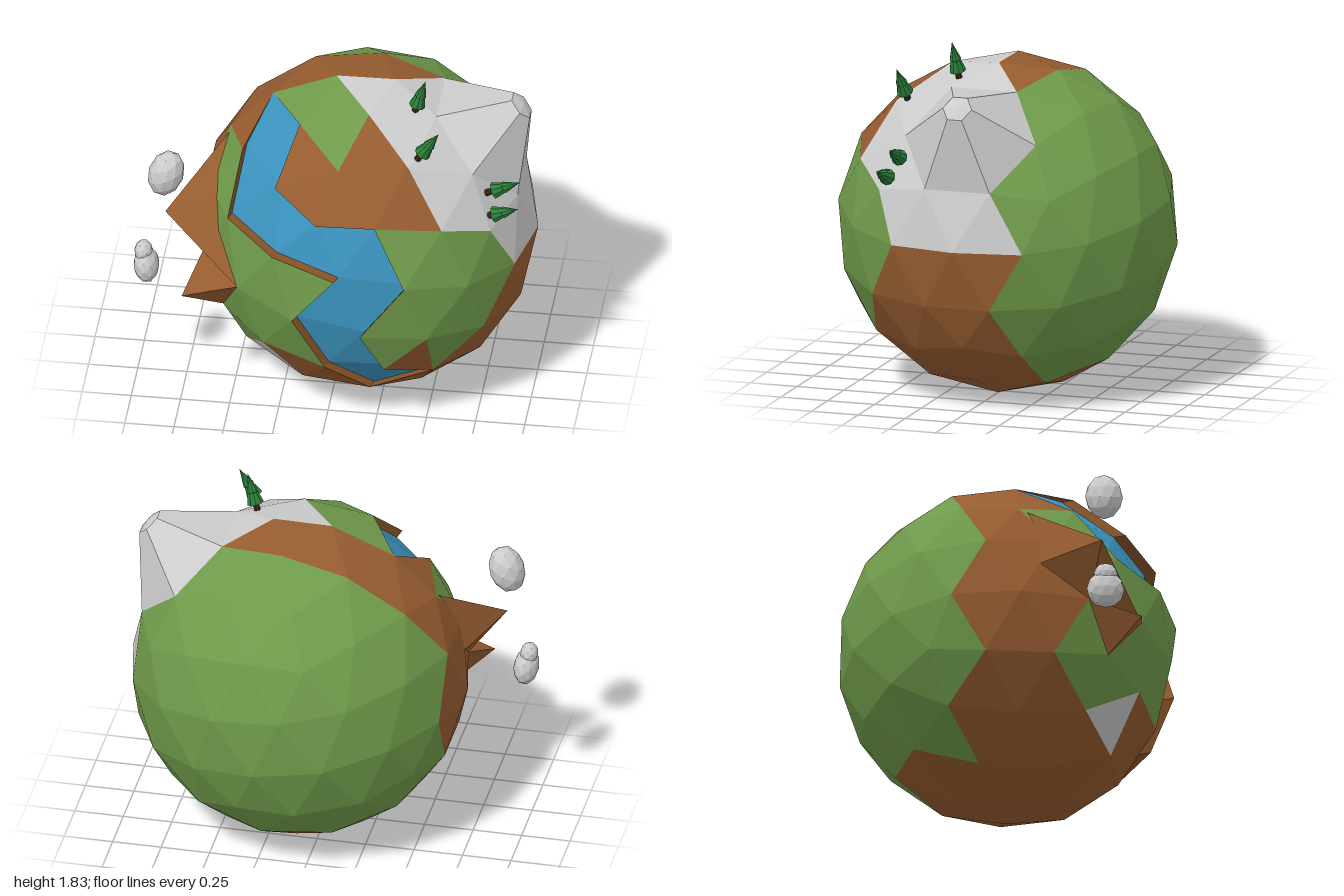
import * as THREE from 'three';

const R = 0.863, CENTRE = new THREE.Vector3(0.14, 0.853, 0);
const V = (x, y, z) => new THREE.Vector3(x, y, z);
const COLORS = {
  grass: 0x6f9a4a, soil: 0x965c30, rock: 0xcccccc, river: 0x3a92bd,
  riverBank: 0x8a5429, leaf: 0x2a7f3a, bark: 0x40281a,
};
const material = (name) => new THREE.MeshStandardMaterial({
  color: COLORS[name], flatShading: true, side: THREE.DoubleSide,
});

// Region outlines: river, soil and scree seen along z as [x, y], mountain seen along x as [z, y]
const RIVER = [[-0.33, 1.58], [-0.464, 1.401], [-0.511, 1.122], [-0.253, 1.067], [0.074, 1.014],
  [-0.144, 0.735], [0.013, 0.423], [0.22, 0.205], [0.542, 0.338], [0.314, 0.434], [0.206, 0.692],
  [0.425, 0.971], [0.267, 1.283], [-0.034, 1.272], [-0.262, 1.368], [-0.169, 1.598]];
const UPPER_SOIL = [[-0.169, 1.598], [0.06, 1.501], [0.18, 1.667], [0.41, 1.504], [0.594, 1.23],
  [0.267, 1.283], [-0.034, 1.272], [-0.262, 1.368]];
const LOWER_SOIL = [[-0.433, 0.31], [-0.314, 0.476], [0.013, 0.423], [0.314, 0.434], [0.533, 0.639],
  [0.542, 0.338], [0.791, 0.584], [0.929, 0.875], [1.1, 0.875], [1.1, -0.1], [-0.55, -0.1]];
const SCREE = [[-0.433, 0.31], [-0.314, 0.476], [-0.129, 0.202]];
const MOUNTAIN = [[0.348, 0.875], [0.454, 1.134], [0.63, 1.23], [0.498, 1.504], [0.281, 1.667],
  [0, 1.72], [-0.174, 1.614], [-0.348, 1.396], [-0.174, 1.177], [-0.348, 0.875]];

function inside(poly, x, y) {
  let hit = false;
  poly.forEach(([ax, ay], i) => {
    const [bx, by] = poly[(i + 1) % poly.length];
    if ((ay > y) !== (by > y) && x < ((bx - ax) * (y - ay)) / (by - ay) + ax) hit = !hit;
  });
  return hit;
}

// Which ground covers a facet, from its centroid
function regionOf({ x, y, z }) {
  if (x > 0.14 && inside(MOUNTAIN, z, y)) return 'rock';
  if (z > 0.01) {
    if (inside(RIVER, x, y)) return 'river';
    if (inside(SCREE, x, y)) return 'rock';
    if (inside(UPPER_SOIL, x, y) || inside(LOWER_SOIL, x, y)) return 'soil';
    if (x < -0.4 && (z < 0.12 || (z < 0.2 && y < 1.1))) return 'soil';
    return 'grass';
  }
  if (z > -0.25 || (y < 0.25 && x > -0.2 && x < 0.35)) return 'soil';
  return 'grass';
}

function meshFrom(points, name, colour) {
  const g = new THREE.BufferGeometry().setFromPoints(points);
  g.computeVertexNormals();
  const mesh = new THREE.Mesh(g, material(colour));
  mesh.name = name;
  return mesh;
}

// Fan of triangles from a ring of points to a tip
const fan = (ring, tip) => ring.flatMap((p, i) => [p, ring[(i + 1) % ring.length], tip]);

function createGlobe() {
  const group = new THREE.Group();
  group.name = 'globe';
  const geo = new THREE.IcosahedronGeometry(R, 2);
  geo.rotateZ(Math.PI / 8).translate(CENTRE.x, CENTRE.y, CENTRE.z);
  const pos = geo.attributes.position;
  const bins = { grass: [], soil: [], rock: [], river: [], riverBank: [] };
  const peakBase = V(0.767, 1.446, 0), peakTop = V(0.93, 1.615, 0);
  const cragBase = V(-0.545, 0.734, 0.477), cragTip = V(-0.73, 0.705, 0.61);
  const riverEdges = new Map();
  const key = (p) => p.toArray().map((n) => Math.round(n * 1000)).join();
  const sink = (p) => (p.z < 0.05 ? p.clone() : p.clone().add(V(0.015, -0.005, -0.06)));

  for (let i = 0; i < pos.count; i += 3) {
    const t = [0, 1, 2].map((k) => V().fromBufferAttribute(pos, i + k));
    const mid = V(0, 0, 0).add(t[0]).add(t[1]).add(t[2]).divideScalar(3);
    const peak = t.findIndex((p) => p.distanceTo(peakBase) < 0.08);
    if (peak >= 0) {
      // Mountain: each facet around the peak rises to a small flat cap
      const a = t[(peak + 1) % 3], b = t[(peak + 2) % 3];
      const [c, d] = [a, b].map((p) => p.clone().sub(t[peak]).multiplyScalar(0.22).add(peakTop));
      bins.rock.push(a, b, d, a, d, c, c, d, peakTop);
    } else if (mid.distanceTo(cragBase) < 0.08) {
      // Lower crag: one facet pulled out to a point
      bins.soil.push(...fan(t, cragTip));
    } else {
      const region = regionOf(mid);
      if (region === 'river') {
        bins.river.push(...t.map(sink));
        t.forEach((a, k) => {
          const b = t[(k + 1) % 3];
          const back = key(b) + '|' + key(a);
          if (riverEdges.has(back)) riverEdges.delete(back);
          else riverEdges.set(key(a) + '|' + key(b), [a, b]);
        });
      } else bins[region].push(...t);
    }
  }
  // Banks: walls from the ground down to the sunken river
  for (const [a, b] of riverEdges.values()) {
    bins.riverBank.push(a, sink(b), b, a, sink(a), sink(b));
  }
  for (const [name, points] of Object.entries(bins)) group.add(meshFrom(points, name, name));
  return group;
}

// Tree standing on a base point and leaning towards its tip
function createTree(base, tip) {
  const tree = new THREE.Group();
  tree.name = 'tree';
  const h = base.distanceTo(tip);
  const trunk = new THREE.Mesh(new THREE.CylinderGeometry(0.016, 0.018, 0.06, 8), material('bark'));
  trunk.name = 'trunk';
  trunk.position.y = 0.02;
  const profile = [[0, 0.18], [0.043, 0.2], [0.026, 0.5], [0.03, 0.52], [0.012, 0.8], [0, 1]];
  const crown = new THREE.Mesh(
    new THREE.LatheGeometry(profile.map(([r, y]) => new THREE.Vector2(r, y * h)), 9), material('leaf'));
  crown.name = 'crown';
  tree.add(trunk, crown);
  tree.position.copy(base);
  tree.quaternion.setFromUnitVectors(V(0, 1, 0), tip.clone().sub(base).normalize());
  return tree;
}

export function createModel() {
  const model = new THREE.Group();
  model.name = 'smallPlanet';
  model.add(createGlobe());

  // Upper crag
  const ring = [V(-0.56, 1.34, 0.04), V(-0.59, 1.13, 0.33), V(-0.447, 0.798, 0.63),
    V(-0.649, 0.831, 0.348), V(-0.69, 1.0, 0.1)];
  model.add(meshFrom(fan(ring, V(-0.84, 1.07, 0.4)), 'upperCrag', 'soil'));

  // Trees on the mountain side
  [
    [V(0.40, 1.64, 0.17), V(0.455, 1.835, 0.19)],
    [V(0.45, 1.53, 0.43), V(0.555, 1.695, 0.45)],
    [V(0.79, 1.29, 0.34), V(0.955, 1.37, 0.35)],
    [V(0.80, 1.19, 0.40), V(0.955, 1.255, 0.42)],
  ].forEach(([base, tip]) => model.add(createTree(base, tip)));

  // Floating boulders: centre, half sizes, tilt
  [
    [V(-0.835, 1.31, 0.41), V(0.09, 0.127, 0.095), -0.3],
    [V(-0.935, 0.75, 0.41), V(0.065, 0.096, 0.095), 0.1],
    [V(-0.95, 0.83, 0.41), V(0.046, 0.055, 0.06), 0],
  ].forEach(([centre, size, tilt]) => {
    const boulder = new THREE.Mesh(new THREE.IcosahedronGeometry(1, 1), material('rock'));
    boulder.name = 'floatingBoulder';
    boulder.position.copy(centre);
    boulder.scale.copy(size);
    boulder.rotation.z = tilt;
    model.add(boulder);
  });
  return model;
}
